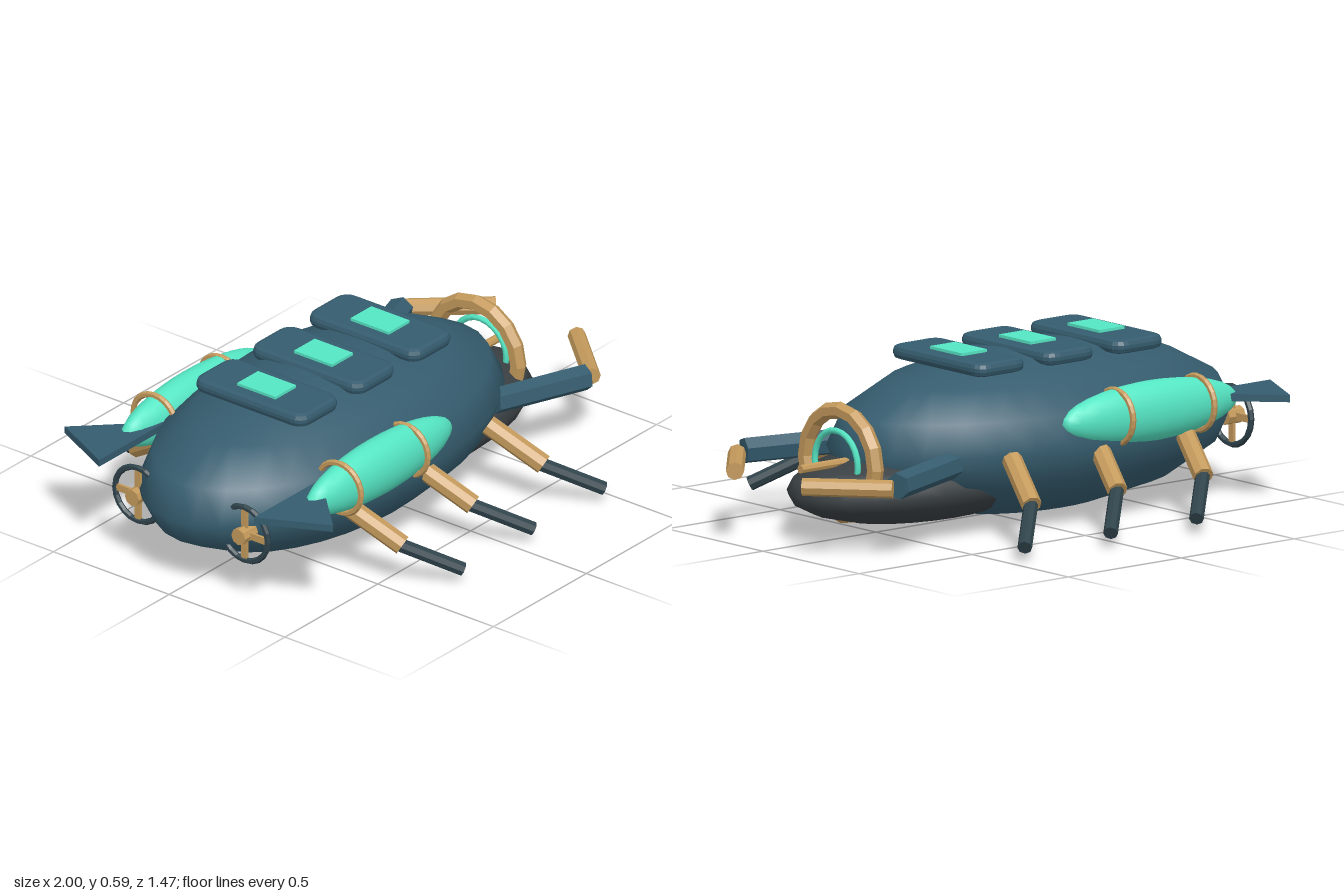
import * as THREE from 'three';

const mat = (color, flatShading = false) =>
  new THREE.MeshStandardMaterial({ color, flatShading });
const HULL = mat(0x355c6e), HULL_FLAT = mat(0x355c6e, true);
const DARK = mat(0x3a4043), LEG = mat(0x2f434b, true);
const BRASS = mat(0xc49a5c, true), GLOW = mat(0x55e6c4);

const V = (x, y, z) => new THREE.Vector3(x, y, z);

export function createModel() {
  const model = new THREE.Group();

  function add(name, geometry, material, x = 0, y = 0, z = 0) {
    const mesh = new THREE.Mesh(geometry, material);
    mesh.name = name;
    mesh.position.set(x, y, z);
    model.add(mesh);
    return mesh;
  }
  const ellipsoid = (name, material, c, r, w, h) =>
    add(name, new THREE.SphereGeometry(1, w, h), material, ...c).scale.set(...r);

  // Straight rod between two points
  function rod(name, material, a, b, radius, sides = 8) {
    const dir = b.clone().sub(a);
    const mesh = add(name, new THREE.CylinderGeometry(radius, radius, dir.length(), sides), material);
    mesh.position.copy(a).addScaledVector(dir, 0.5);
    mesh.quaternion.setFromUnitVectors(V(0, 1, 0), dir.normalize());
  }

  // Ring whose axis runs along x
  function ring(name, material, x, y, z, radius, tube, sides = 6, segments = 16) {
    const geo = new THREE.TorusGeometry(radius, tube, sides, segments).rotateY(Math.PI / 2);
    add(name, geo, material, x, y, z);
  }

  // Hull and lower nose
  ellipsoid('hull', HULL, [-0.18, 0.29, 0], [0.82, 0.285, 0.44], 32, 8);
  ellipsoid('lowerNose', DARK, [0.3, 0.165, 0], [0.54, 0.135, 0.3], 24, 10);

  // Front porthole with its centre spike
  ring('portholeFrame', BRASS, 0.655, 0.265, 0, 0.18, 0.029);
  ring('portholeLight', GLOW, 0.675, 0.265, 0, 0.112, 0.011, 6, 24);
  rod('noseSpike', BRASS, V(0.58, 0.265, 0), V(0.835, 0.265, 0), 0.015);

  // Roof plates with windows
  const bevel = 0.018, hx = 0.11 - bevel, hz = 0.24 - bevel, c = 0.035;
  const outline = new THREE.Shape();
  outline.moveTo(-hx + c, -hz);
  outline.lineTo(hx - c, -hz).quadraticCurveTo(hx, -hz, hx, -hz + c);
  outline.lineTo(hx, hz - c).quadraticCurveTo(hx, hz, hx - c, hz);
  outline.lineTo(-hx + c, hz).quadraticCurveTo(-hx, hz, -hx, hz - c);
  outline.lineTo(-hx, -hz + c).quadraticCurveTo(-hx, -hz, -hx + c, -hz);
  const plateGeo = new THREE.ExtrudeGeometry(outline, {
    depth: 0.012, bevelSize: bevel, bevelThickness: bevel, bevelSegments: 2, curveSegments: 4,
  }).rotateX(-Math.PI / 2);
  for (const x of [-0.475, -0.17, 0.135]) {
    add('roofPlate', plateGeo, HULL_FLAT, x, 0.552, 0);
    add('roofWindow', new THREE.BoxGeometry(0.112, 0.02, 0.165), GLOW, x, 0.582, 0);
  }

  for (const s of [1, -1]) {
    // Side pods with straps
    ellipsoid('sidePod', GLOW, [-0.37, 0.37, s * 0.4], [0.385, 0.104, 0.074], 24, 16);
    for (const x of [-0.58, -0.22]) ring('podStrap', BRASS, x, 0.37, s * 0.4, 0.092, 0.011, 6, 24);

    // Tail fins: flat triangles
    const fin = new THREE.Shape([
      new THREE.Vector2(-0.96, s * 0.335),
      new THREE.Vector2(-0.6, s * 0.335),
      new THREE.Vector2(-0.84, s * 0.58),
    ]);
    const finGeo = new THREE.ExtrudeGeometry(fin, { depth: 0.025, bevelEnabled: false })
      .rotateX(Math.PI / 2);
    add('tailFin', finGeo, HULL_FLAT, 0, 0.39, 0);

    // Propellers
    ring('propellerRing', LEG, -0.88, 0.262, s * 0.23, 0.1, 0.011, 6, 20);
    rod('propellerHub', BRASS, V(-0.915, 0.262, s * 0.23), V(-0.845, 0.262, s * 0.23), 0.03);
    for (const [h, d] of [[0.19, 0.025], [0.025, 0.19]])
      add('propellerBlade', new THREE.BoxGeometry(0.01, h, d), BRASS, -0.88, 0.262, s * 0.23);

    // Three jointed legs
    for (const x of [-0.46, -0.08, 0.3]) {
      rod('upperLeg', BRASS, V(x - 0.07, 0.28, s * 0.39), V(x, 0.16, s * 0.575), 0.035);
      rod('lowerLeg', LEG, V(x - 0.01, 0.165, s * 0.56), V(x + 0.15, 0.055, s * 0.715), 0.025);
    }

    // Front arms with inward claws
    rod('frontArm', HULL_FLAT, V(0.4, 0.265, s * 0.28), V(0.745, 0.256, s * 0.4), 0.046, 6);
    rod('frontClaw', BRASS, V(0.77, 0.25, s * 0.405), V(0.975, 0.25, s * 0.175), 0.031);
  }

  return model;
}
